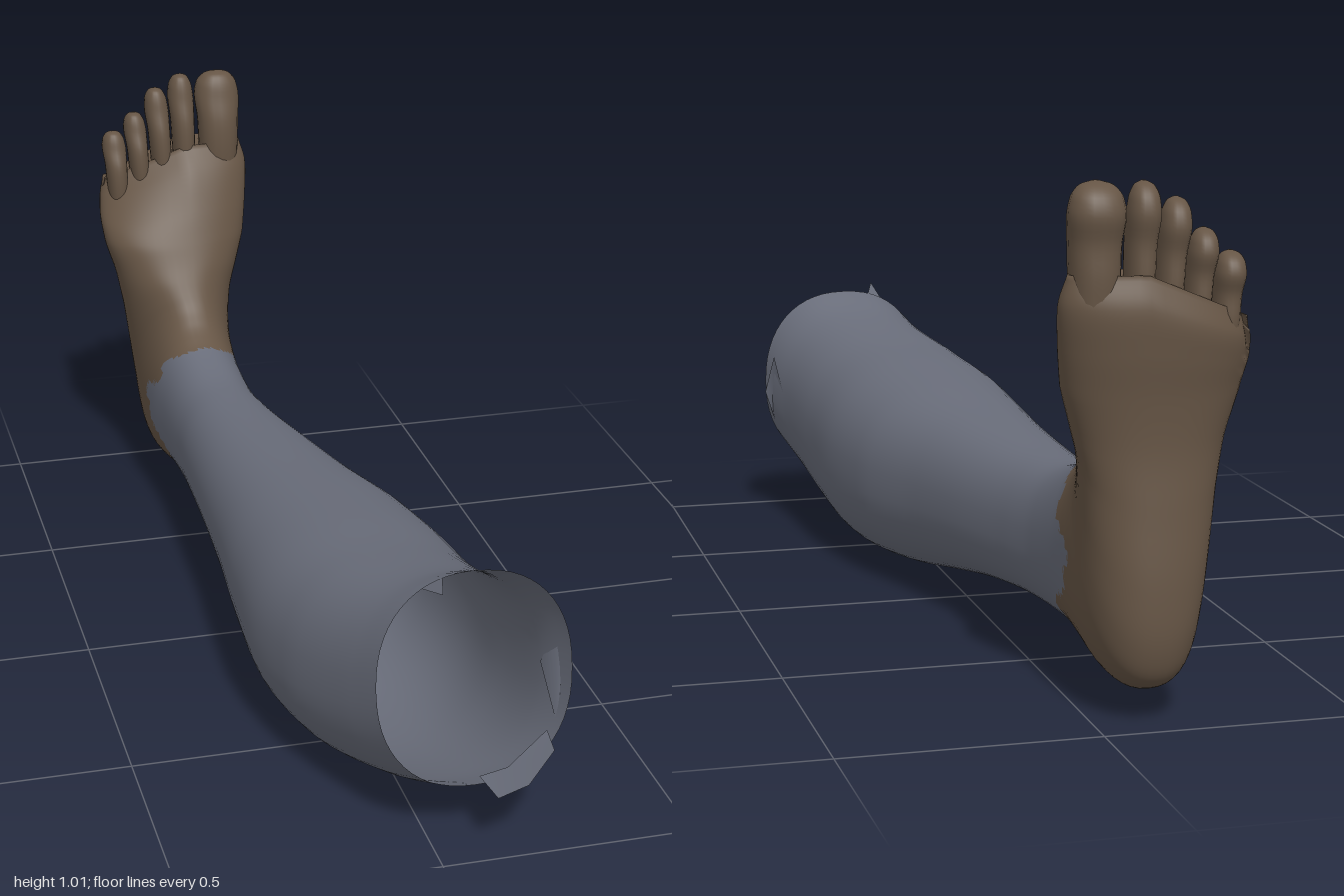
import * as THREE from 'three';

const skin = new THREE.MeshStandardMaterial({ color: 0x665545, side: THREE.DoubleSide });
const cloth = new THREE.MeshStandardMaterial({ color: 0x686c79, side: THREE.DoubleSide });

const power = (v, e) => Math.sign(v) * Math.abs(v) ** e;

// Loft through rows [upper y, upper z, lower y, lower z, min x, max x]; the far end is closed.
// pick(centre) sorts faces into one of several index lists that share the same smooth normals.
function loft(rows, rings, seg, { warp = () => {}, pick = () => 0, square = 0.88 } = {}) {
  const curve = (a, b, c) => new THREE.CatmullRomCurve3(rows.map(r => new THREE.Vector3(r[a], r[b], c === undefined ? 0 : r[c])));
  const upper = curve(0, 1), lower = curve(2, 3), width = curve(4, 5);
  const points = [], faces = [];
  for (let i = 0; i <= rings; i++) {
    const t = i / rings;
    const A = upper.getPoint(t), B = lower.getPoint(t), W = width.getPoint(t);
    for (let j = 0; j < seg; j++) {
      const a = (j / seg) * Math.PI * 2;
      const c = (1 + power(Math.cos(a), square)) / 2, s = (1 + power(Math.sin(a), square)) / 2;
      const p = new THREE.Vector3(W.x + (W.y - W.x) * s, B.x + (A.x - B.x) * c, B.y + (A.y - B.y) * c);
      warp(p, t);
      points.push(p);
    }
  }
  const id = (i, j) => i * seg + (j % seg);
  for (let i = 0; i < rings; i++) for (let j = 0; j < seg; j++) {
    faces.push([id(i, j), id(i, j + 1), id(i + 1, j)], [id(i, j + 1), id(i + 1, j + 1), id(i + 1, j)]);
  }
  const centre = new THREE.Vector3();
  for (let j = 0; j < seg; j++) centre.addScaledVector(points[id(rings, j)], 1 / seg);
  points.push(centre);
  for (let j = 0; j < seg; j++) faces.push([id(rings, j), id(rings, j + 1), points.length - 1]);

  const all = new THREE.BufferGeometry().setFromPoints(points);
  all.setIndex(faces.flat());
  all.computeVertexNormals();
  const lists = [[], []];
  for (const f of faces) {
    const mid = new THREE.Vector3();
    f.forEach(k => mid.addScaledVector(points[k], 1 / 3));
    lists[pick(mid)].push(...f);
  }
  return lists.map(list => all.clone().setIndex(list));
}

function add(group, name, geometry, material) {
  const mesh = new THREE.Mesh(geometry, material);
  mesh.name = name;
  group.add(mesh);
}

export function createModel() {
  const group = new THREE.Group();
  group.name = 'lowerLeg';

  // Sections run from the open knee along the calf, then fan round the heel and up the foot
  const rows = [
    [0.55, 0.87, 0.12, 0.92, -0.105, 0.28],
    [0.51, 0.78, 0.07, 0.80, -0.14, 0.25],
    [0.475, 0.60, 0.015, 0.60, -0.20, 0.23],
    [0.455, 0.40, 0.002, 0.42, -0.23, 0.222],
    [0.435, 0.20, 0.024, 0.20, -0.225, 0.19],
    [0.415, 0, 0.056, 0, -0.212, 0.13],
    [0.40, -0.20, 0.086, -0.20, -0.205, 0.08],
    [0.393, -0.38, 0.098, -0.38, -0.20, 0.033],
    [0.398, -0.50, 0.098, -0.52, -0.198, 0.008],
    [0.425, -0.60, 0.093, -0.65, -0.205, 0],
    [0.445, -0.64, 0.072, -0.76, -0.213, 0],
    [0.46, -0.663, 0.056, -0.85, -0.216, 0.002],
    [0.475, -0.68, 0.06, -0.92, -0.217, 0.003],
    [0.49, -0.695, 0.088, -0.968, -0.218, 0.003],
    [0.505, -0.707, 0.15, -0.992, -0.222, 0.003],
    [0.525, -0.72, 0.26, -0.996, -0.232, 0.004],
    [0.55, -0.735, 0.40, -0.984, -0.246, 0.01],
    [0.585, -0.755, 0.51, -0.976, -0.262, 0.028],
    [0.635, -0.78, 0.61, -0.982, -0.284, 0.05],
    [0.70, -0.81, 0.70, -0.995, -0.288, 0.062],
    [0.78, -0.85, 0.78, -1.0, -0.282, 0.07],
    [0.84, -0.89, 0.84, -0.98, -0.272, 0.056],
  ];
  const [leg, foot] = loft(rows, 126, 56, {
    // The toe line slopes down, and the instep thins, towards the little toe
    warp(p, t) {
      const k = THREE.MathUtils.smoothstep(t, 0.84, 1), side = Math.min(0, p.x + 0.08);
      p.y += 0.42 * k * side;
      if (p.z > -0.94) p.z += 0.16 * k * side;
    },
    // The covering ends in a tongue on each side of the ankle
    pick: p => (p.z < -0.63 - 0.13 * Math.exp(-(((p.y - 0.26) / 0.075) ** 2)) - 0.02 * Math.sin(p.y * 70) ? 1 : 0),
  });
  add(group, 'trouserLeg', leg, cloth);
  add(group, 'foot', foot, skin);

  // Toes: [base x, tip x, base y, tip y, half width, depth]
  const toes = [
    [0.006, 0.006, 0.76, 1.007, 0.051, 0.056],
    [-0.077, -0.083, 0.76, 1.005, 0.029, 0.046],
    [-0.131, -0.144, 0.75, 0.975, 0.027, 0.045],
    [-0.185, -0.197, 0.73, 0.918, 0.0255, 0.043],
    [-0.240, -0.248, 0.70, 0.875, 0.027, 0.042],
  ];
  // Toe profile: [height, width, depth, forward shift]
  const profile = [
    [0, 0.85, 0.9, 0.005], [0.3, 0.9, 1, 0.005], [0.55, 0.95, 0.95, 0.004], [0.75, 1.04, 0.92, -0.008],
    [0.89, 0.92, 0.74, -0.008], [0.97, 0.6, 0.45, -0.004], [1, 0.12, 0.1, 0],
  ];
  toes.forEach(([x0, x1, y0, y1, w, d], n) => {
    const sections = profile.map(([h, kw, kd, shift]) => {
      const x = x0 + (x1 - x0) * h, y = y0 + (y1 - y0) * h, z = -0.935 + shift;
      return [y, z + d * kd, y, z - d * kd, x - w * kw, x + w * kw];
    });
    add(group, n ? `smallToe${n}` : 'bigToe', loft(sections, 24, 20)[0], skin);
  });

  // Torn flaps on the open edge, each a fan from its first corner
  const flap = (name, corners) => {
    const g = new THREE.BufferGeometry().setFromPoints(corners.map(c => new THREE.Vector3(...c)));
    const index = [];
    for (let i = 1; i < corners.length - 1; i++) index.push(0, i, i + 1);
    g.setIndex(index);
    g.computeVertexNormals();
    add(group, name, g, cloth);
  };
  flap('upperFlap', [[0.03, 0.54, 0.86], [-0.01, 0.52, 0.86], [0, 0.556, 0.96]]);
  flap('lowerFlap', [[0.16, 0.13, 0.89], [0.1, 0.125, 0.9], [0.105, 0.135, 1], [0.17, 0.145, 0.985], [0.235, 0.185, 0.94], [0.24, 0.195, 0.88]]);
  flap('sideFlap', [[0.268, 0.4, 0.84], [0.287, 0.31, 0.86], [0.255, 0.22, 0.88], [0.25, 0.3, 0.8]]);
  return group;
}
